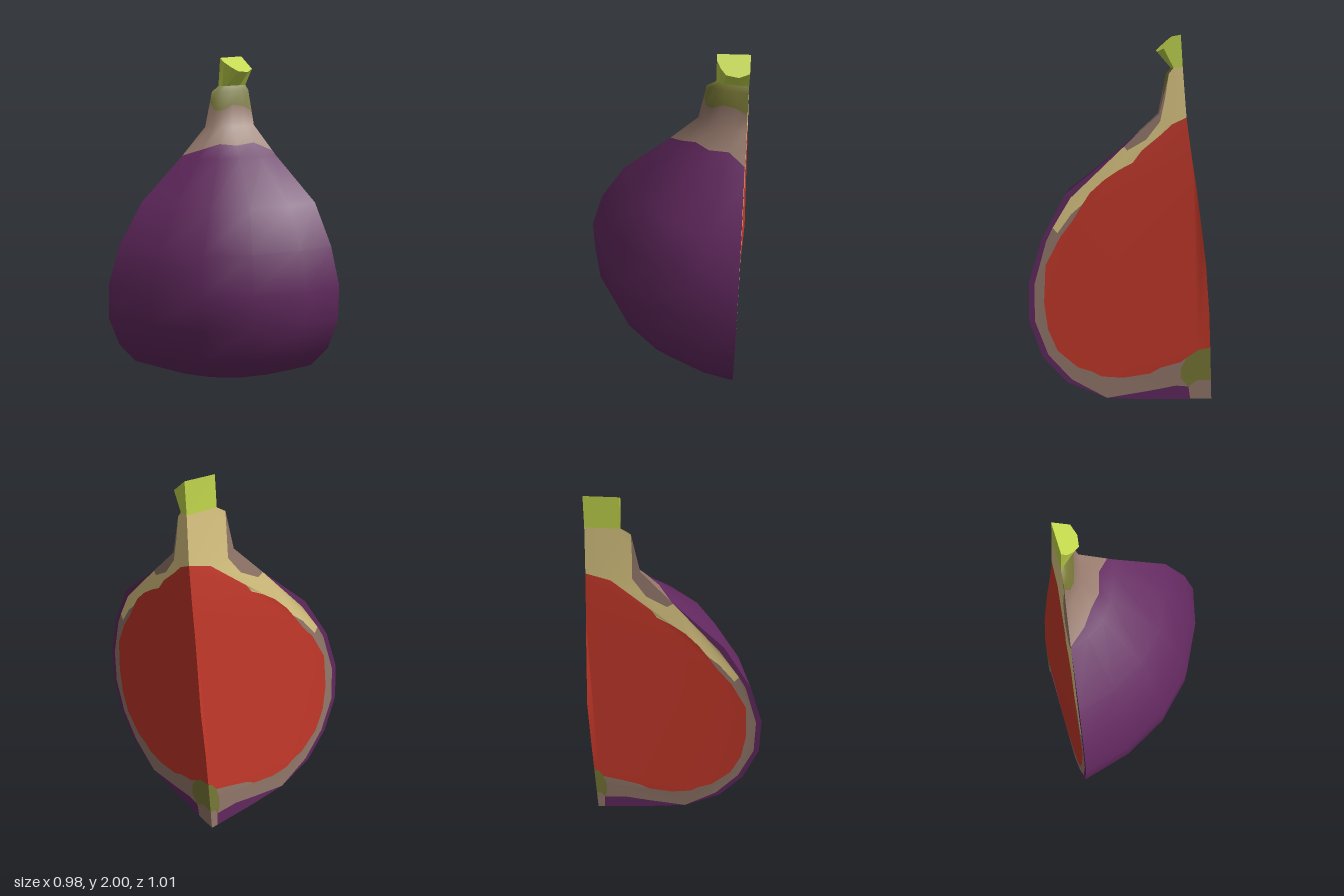
import * as THREE from 'three';

const mat = (name, color, extra = {}) => {
  const m = new THREE.MeshStandardMaterial({ color, ...extra });
  m.name = name;
  return m;
};

// Profile rows: height, radius towards -x, radius towards +z, z of the core axis
const ROWS = [
  [0, 0, 0, -0.505], [0.02, 0.285, 0.353, -0.503], [0.045, 0.525, 0.59, -0.5],
  [0.15, 0.728, 0.81, -0.5], [0.3, 0.86, 0.93, -0.49], [0.5, 0.943, 0.988, -0.478],
  [0.71, 0.948, 0.97, -0.46], [0.94, 0.876, 0.88, -0.44], [1.18, 0.725, 0.72, -0.41],
  [1.42, 0.45, 0.365, -0.365], [1.59, 0.278, 0.143, -0.333], [1.8, 0.235, 0.078, -0.318],
  [1.83, 0.183, 0.05, -0.315],
];
const CORE_X = 0.458, SEG = 5;
// Angle in degrees and radius factor of each vertical line of the skin
const LINES = [[0, 1], [18.3, 0.965], [36.6, 0.955], [55.5, 0.957], [75.5, 0.97], [90, 1]];

// Linear lookup of one profile column at height y
function at(y, col) {
  let i = 0;
  while (i < ROWS.length - 2 && y > ROWS[i + 1][0]) i++;
  const a = ROWS[i], b = ROWS[i + 1];
  return THREE.MathUtils.lerp(a[col], b[col], (y - a[0]) / (b[0] - a[0]));
}
const skinPoint = (y, k) => {
  const a = THREE.MathUtils.degToRad(LINES[k][0]), f = LINES[k][1];
  return [CORE_X - f * at(y, 1) * Math.cos(a), y, at(y, 3) + f * at(y, 2) * Math.sin(a)];
};

function geometry(points, index) {
  const g = new THREE.BufferGeometry();
  g.setAttribute('position', new THREE.Float32BufferAttribute(points.flat(), 3));
  g.setIndex(index);
  return g;
}

// Quarter skin: smooth rows, with wavy borders between the colours near the neck
function skin(materials) {
  const low = [1.43, 1.47, 1.5, 1.49, 1.5, 1.45], high = [1.74, 1.69, 1.69, 1.72, 1.71, 1.68];
  const flat = (i) => Array(SEG + 1).fill(ROWS[i][0]);
  const rows = [...Array(10).keys()].map(flat);
  rows.push(low, flat(10), high, flat(11), flat(12));
  const pts = rows.flatMap((r) => r.map((y, k) => skinPoint(y, k)));
  const index = [], n = SEG + 1;
  for (let j = 0; j < rows.length - 1; j++)
    for (let k = 0; k < SEG; k++) {
      const a = j * n + k, d = a + n;
      index.push(a, a + 1, d + 1, a, d + 1, d);
    }
  const g = geometry(pts, index);
  const per = SEG * 6;
  g.addGroup(0, 10 * per, 0);
  g.addGroup(10 * per, 2 * per, 1);
  g.addGroup(12 * per, 2 * per, 2);
  g.computeVertexNormals();
  const mesh = new THREE.Mesh(g, materials);
  mesh.name = 'skin';
  return mesh;
}

// Regions of a cut face as outlines of [distance from core, height]; heart scales the core spots
function cutRegions(heart) {
  const p = (z, y) => [z - at(y, 3), y];
  const h = (s, y) => [s * heart, y];
  const core = (y) => [0, y];
  const rim = (i) => [ROWS[i][2], ROWS[i][0]];
  const rims = (a, b) => Array.from({ length: b - a + 1 }, (_, i) => rim(a + i));
  const peel = [p(0.285, 0.165), p(0.41, 0.31), p(0.48, 0.5), p(0.48, 0.7), p(0.415, 0.93),
    p(0.38, 1)];
  const peelTop = p(0.285, 1.155);
  const pulpLow = [h(0.136, 0.25), p(-0.32, 0.225), p(-0.21, 0.2), p(-0.15, 0.17), p(0, 0.155),
    p(0.12, 0.17), p(0.17, 0.2), p(0.25, 0.23), p(0.36, 0.33), p(0.41, 0.45), p(0.43, 0.6),
    p(0.42, 0.8), p(0.34, 0.95), p(0.27, 1.04), p(0.22, 1.12)];
  const pulpEnd = pulpLow[pulpLow.length - 1];
  const pulpHigh = [p(0.18, 1.18), p(0.1, 1.25), p(0.02, 1.3), p(-0.05, 1.335), p(-0.1, 1.4),
    p(-0.2, 1.48), p(-0.26, 1.535), core(1.57)];
  const creamTip = [p(0.355, 0.97), p(0.28, 1.07)];
  const neck = [p(-0.02, 1.4), p(-0.12, 1.455), p(-0.195, 1.55), p(-0.22, 1.67)];
  const base = [p(-0.15, 0.07), p(-0.3, 0.09), h(0.13, 0.08)];
  const spotEdge = h(0.122, 0.007 * heart), spotTop = h(0.078, 0.115), heartTop = h(0.07, 0.29);
  const heartSide = [h(0.175, 0.13), h(0.172, 0.19)];
  const back = (a) => [...a].reverse();
  return [
    ['peelEdge', 'purple', [...rims(2, 9), peelTop, ...back(peel)]],
    ['baseEdge', 'purple', [spotEdge, rim(1), rim(2), ...base]],
    ['pith', 'mauve', [rim(2), ...peel, ...creamTip, ...back(pulpLow), ...back(heartSide),
      ...back(base)]],
    ['neckPith', 'mauve', [...rims(9, 11), ...back(neck)]],
    ['baseSpot', 'mauve', [core(0), spotEdge, base[2], spotTop, core(0.11)]],
    ['baseHeart', 'olive', [core(0.11), spotTop, base[2], ...heartSide, pulpLow[0], heartTop,
      core(0.3)]],
    ['neckFlesh', 'cream', [peel[5], peelTop, rim(9), ...neck, rim(11), rim(12), core(1.83),
      ...back(pulpHigh), pulpEnd, ...back(creamTip)]],
    ['pulp', 'red', [core(0.3), heartTop, ...pulpLow, ...pulpHigh,
      ...[1.35, 1.18, 0.94, 0.77, 0.5].map(core)]],
  ];
}

// One cut face; the core edge is pushed out to a blunt point below mid height
function cutFace(name, isBack, mats) {
  const group = new THREE.Group();
  group.name = name;
  const place = ([s, y]) => {
    const r = at(y, 2), t = r > 0 ? Math.min(1, s / r) : 1;
    const swell = 0.03 * Math.min(y / 0.77, (1.83 - y) / 1.06) * (1 - t);
    const dent = 0.013 * Math.max(0, Math.sin(Math.PI * (y - 0.7) / 0.87)) * (1 - t);
    const x = CORE_X + swell, z = at(y, 3) + dent;
    return isBack ? [x - t * at(y, 1), y, z] : [x, y, z + s];
  };
  for (const [part, colour, outline] of cutRegions(isBack ? 0.4 : 1)) {
    const v = outline.map(([s, y]) => new THREE.Vector2(s, y));
    if (THREE.ShapeUtils.isClockWise(v)) { v.reverse(); outline.reverse(); }
    const index = [];
    for (const [a, b, c] of THREE.ShapeUtils.triangulateShape(v, [])) {
      const ccw = v[b].clone().sub(v[a]).cross(v[c].clone().sub(v[a])) > 0;
      index.push(...(ccw === isBack ? [a, b, c] : [a, c, b]));
    }
    const g = geometry(outline.map(place), index);
    g.computeVertexNormals();
    const mesh = new THREE.Mesh(g, mats[colour]);
    mesh.name = part;
    group.add(mesh);
  }
  return group;
}

// Stub of stem: faceted, flaring to a slanted cut
function stem(material) {
  const bottom = Array.from({ length: SEG + 1 }, (_, k) => skinPoint(1.83, k));
  bottom.push([CORE_X, 1.83, -0.315]);
  const top = [[0.275, -0.3], [0.275, -0.27], [0.3, -0.23], [0.33, -0.2], [0.4, -0.19],
    [CORE_X, -0.21], [CORE_X, -0.302]].map(([x, z]) => [x, 2 - 0.77 * (z + 0.302), z]);
  const n = top.length, index = [];
  for (let k = 0; k < n; k++) {
    const k2 = (k + 1) % n;
    index.push(k, k2, n + k2, k, n + k2, n + k);
    if (k < n - 2) index.push(2 * n - 1, n + k, n + k + 1);
  }
  const g = geometry([...bottom, ...top], index).toNonIndexed();
  g.computeVertexNormals();
  const mesh = new THREE.Mesh(g, material);
  mesh.name = 'stem';
  return mesh;
}

export function createModel() {
  const side = { side: THREE.DoubleSide };
  const mats = {
    purple: mat('purple skin', 0x632960, side),
    mauve: mat('mauve pith', 0x967a6c, side),
    olive: mat('olive', 0x7b7b38, side),
    cream: mat('cream flesh', 0xe0ca85, side),
    red: mat('red pulp', 0xc6392a, side),
    green: mat('stem green', 0xc4d84c, side),
  };
  const model = new THREE.Group();
  model.name = 'fruitQuarter';
  model.add(
    skin([mats.purple, mats.mauve, mats.olive]),
    cutFace('leftCutFace', false, mats),
    cutFace('backCutFace', true, mats),
    stem(mats.green),
  );
  return model;
}
